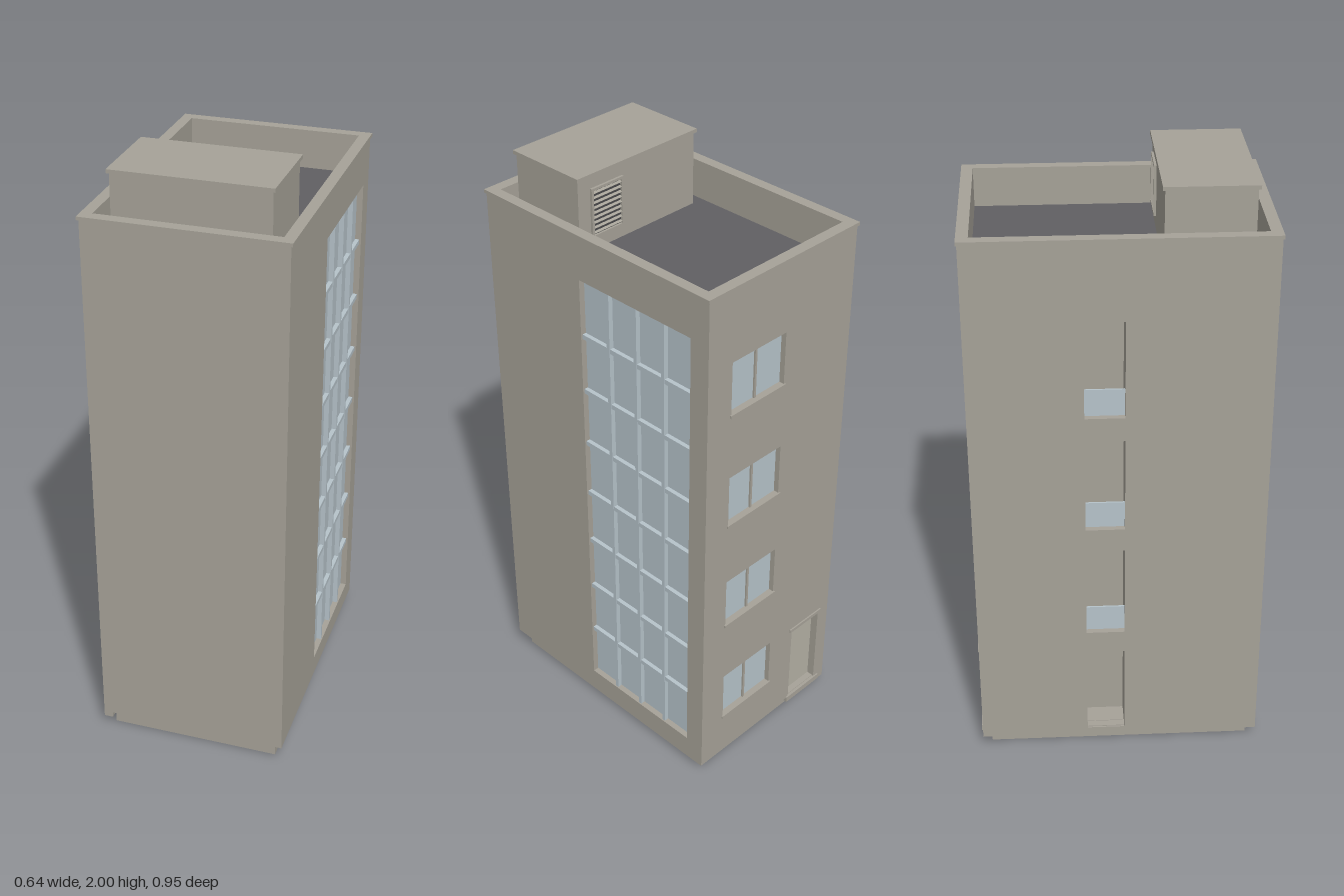
import * as THREE from 'three';

const mat = (name, color) => {
  const m = new THREE.MeshStandardMaterial({ color });
  m.name = name;
  return m;
};

export function createModel() {
  const concrete = mat('concrete', 0xa6a298);
  const glass = mat('glass', 0xb6c3ca);
  const roofing = mat('roofing', 0x605f63);
  const doorPaint = mat('door paint', 0xb4b0a4);
  const ventDark = mat('vent dark', 0x48484b);

  const model = new THREE.Group();
  model.name = 'towerBlock';
  const W = 0.315, D = 0.47, TOP = 1.87, BASE = 0.06, WALL = 0.03;

  // Box given by its lower and upper limits on each axis
  const box = (parent, name, m, x0, x1, y0, y1, z0, z1) => {
    const mesh = new THREE.Mesh(new THREE.BoxGeometry(x1 - x0, y1 - y0, z1 - z0), m);
    mesh.position.set((x0 + x1) / 2, (y0 + y1) / 2, (z0 + z1) / 2);
    mesh.name = name;
    parent.add(mesh);
    return mesh;
  };

  const rectangle = (T, [u0, u1, v0, v1]) =>
    new T().moveTo(u0, v0).lineTo(u1, v0).lineTo(u1, v1).lineTo(u0, v1).closePath();

  // Upright slab with rectangular holes, from local z = back to z = front
  const slab = (parent, name, m, outline, holes, back, front) => {
    const shape = rectangle(THREE.Shape, outline);
    holes.forEach(h => shape.holes.push(rectangle(THREE.Path, h)));
    const mesh = new THREE.Mesh(
      new THREE.ExtrudeGeometry(shape, { depth: front - back, bevelEnabled: false }), m);
    mesh.position.z = back;
    mesh.name = name;
    parent.add(mesh);
  };

  // Each facade is a group whose outer face lies at local z = 0
  const facade = (name, angle, distance) => {
    const g = new THREE.Group();
    g.name = name;
    g.rotation.y = angle;
    g.position.set(Math.sin(angle) * distance, 0, Math.cos(angle) * distance);
    model.add(g);
    return g;
  };

  // Plinth and ground slab
  box(model, 'plinth', concrete, -0.285, 0.285, 0, BASE + 0.01, -0.44, 0.44);
  box(model, 'groundSlab', concrete, -W + 0.005, W - 0.005, BASE, BASE + 0.008, -D + 0.005, D - 0.005);

  // Plain front wall
  const front = facade('frontFacade', 0, D);
  slab(front, 'frontWall', concrete, [-W, W, BASE, TOP], [], -WALL, 0);

  // Left wall with the large window grid
  const left = facade('leftFacade', Math.PI / 2, W);
  const grid = [-0.06, 0.4, 0.13, 1.72];
  slab(left, 'leftWall', concrete, [-D, D, BASE, TOP], [grid], -WALL, 0);
  box(left, 'gridGlass', glass, grid[0] - 0.01, grid[1] + 0.01, grid[2] - 0.01, grid[3] + 0.01, -0.032, -0.02);
  const cols = 4, rows = 8;
  for (let i = 1; i < cols; i++) {
    const u = grid[0] + (grid[1] - grid[0]) * i / cols;
    box(left, 'mullion', glass, u - 0.006, u + 0.006, grid[2], grid[3], -0.021, -0.004);
  }
  for (let j = 1; j < rows; j++) {
    const v = grid[2] + (grid[3] - grid[2]) * j / rows;
    box(left, 'transom', glass, grid[0], grid[1], v - 0.008, v + 0.008, -0.021, -0.006);
  }

  // Back wall with four windows and the entrance
  const back = facade('backFacade', Math.PI, D);
  const windows = [0, 1, 2, 3].map(i => [-0.215, 0.015, 0.215 + i * 0.41, 0.395 + i * 0.41]);
  const door = [0.127, 0.265, BASE + 0.006, 0.375];
  slab(back, 'backWall', concrete, [-W, W, BASE, TOP], [...windows, door], -WALL, 0);
  windows.forEach(([u0, u1, v0, v1]) => {
    box(back, 'windowPane', glass, u0 - 0.01, u1 + 0.01, v0 - 0.01, v1 + 0.01, -0.031, -0.018);
    const mid = (u0 + u1) / 2;
    box(back, 'windowMullion', concrete, mid - 0.004, mid + 0.004, v0, v1, -0.019, -0.012);
    box(back, 'windowSill', concrete, u0 - 0.005, u1 + 0.005, v0 - 0.01, v0, -0.019, 0.005);
  });
  box(back, 'entranceDoor', doorPaint, door[0] - 0.01, door[1] + 0.01, BASE + 0.004, door[3] + 0.01, -0.035, -0.027);
  box(back, 'doorCanopy', concrete, 0.115, 0.275, 0.375, 0.387, -0.01, 0.005);
  box(back, 'doorStep', concrete, 0.115, 0.285, 0.045, BASE + 0.006, -0.035, 0.005);

  // Right wall with a column of narrow balcony niches
  const right = facade('rightFacade', -Math.PI / 2, W);
  const niches = [0, 1, 2, 3].map(i => [-0.11, 0.016, 0.065 + i * 0.406, 0.39 + i * 0.406]);
  slab(right, 'rightWall', concrete, [-D, D, 0.04, TOP], niches, -WALL, 0);
  niches.forEach((n, i) => {
    const [u0, u1, v0, v1] = n;
    const rim = [u0 - 0.01, u1 + 0.01, Math.max(v0 - 0.01, BASE + 0.002), v1 + 0.01];
    slab(right, 'nicheLining', concrete, rim, [n], -0.1, -WALL);
    box(right, 'nicheBack', concrete, ...rim, -0.108, -0.1);
    if (i > 0) box(right, 'glassRailing', glass, u0, u1, v0, v0 + 0.09, -0.026, -0.02);
  });

  // Roof deck inside the parapet, with a slightly overhanging coping
  box(model, 'roofDeck', roofing, -W + 0.01, W - 0.01, 1.73, 1.745, -D + 0.01, D - 0.01);
  const parapet = new THREE.Group();
  parapet.name = 'parapet';
  parapet.rotation.x = -Math.PI / 2;
  model.add(parapet);
  const inner = [-0.285, 0.285, -0.437, 0.437];
  slab(parapet, 'parapetWall', concrete, [-W + 0.002, W - 0.002, -D + 0.002, D - 0.002], [inner], 1.74, TOP - 0.005);
  slab(parapet, 'coping', concrete, [-0.321, 0.321, -0.474, 0.474], [inner], TOP - 0.008, TOP + 0.003);

  // Rooftop plant room with a thin cap
  box(model, 'plantRoom', concrete, -0.243, 0.243, 1.74, 1.99, 0.132, 0.403);
  box(model, 'plantRoomCap', concrete, -0.25, 0.25, 1.988, 2, 0.125, 0.41);

  // Louvred vent on the back of the plant room
  const vent = facade('vent', Math.PI, 0);
  vent.position.z = 0.132;
  const opening = [-0.187, -0.073, 1.795, 1.942];
  slab(vent, 'ventFrame', concrete, [-0.195, -0.065, 1.787, 1.95], [opening], 0, 0.008);
  box(vent, 'ventBacking', ventDark, ...opening, -0.001, 0.001);
  for (let i = 0; i < 9; i++) {
    const v = opening[2] + (i + 0.5) * (opening[3] - opening[2]) / 9;
    const slat = box(vent, 'ventSlat', concrete, opening[0], opening[1], v - 0.001, v + 0.001, 0, 0.008);
    slat.rotation.x = 0.6;
  }
  return model;
}
